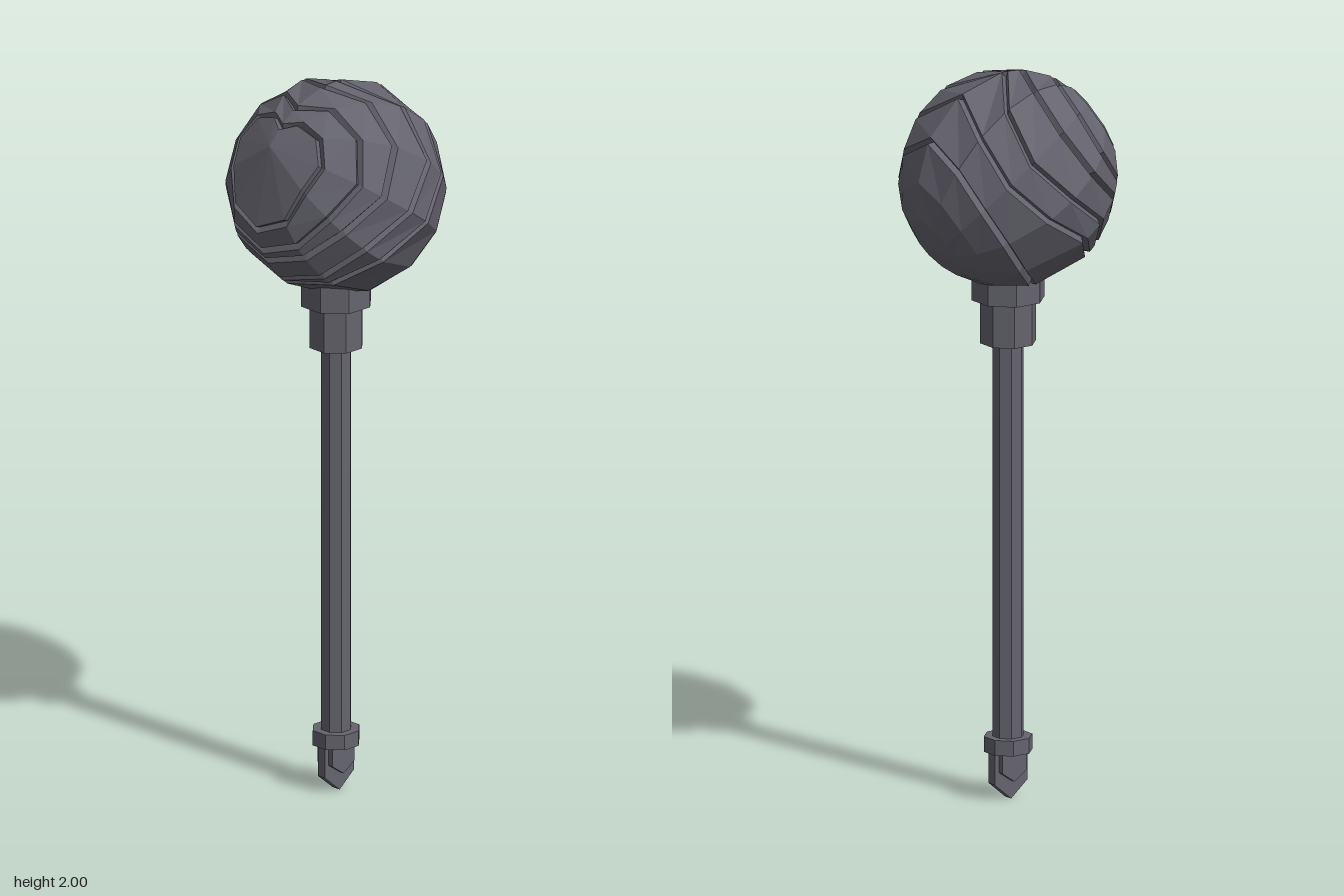
import * as THREE from 'three';

const metal = new THREE.MeshStandardMaterial({ color: 0x65646e });
metal.name = 'darkSteel';
metal.flatShading = true;

const SEG = 12, R = 0.294, CENTRE_Y = 1.706, TILT = THREE.MathUtils.degToRad(35);

// Each groove: angle from the tilted ball axis, for every 30 degrees from its top to its bottom
const grooves = [
  [64, 57, 50, 48, 50, 57, 62],
  [93, 78, 69, 74, 87, 92, 94],
  [123, 99, 86, 91, 101, 100, 98],
  [134, 121, 111, 110, 117, 116, 114],
  [155, 142, 131, 125, 128, 124, 121],
  [168, 160, 152, 147, 147, 138, 134],
];

// Rows of the ball from pole to pole: plain rows between grooves, three rows per groove
function ballRows() {
  const rows = [];
  const add = (angles, r) => rows.push({ angles, r });
  const fill = (a, b) => {
    const gap = a.reduce((sum, v, i) => sum + b[i] - v, 0) / a.length;
    const n = Math.max(1, Math.round(gap / 20));
    for (let k = 1; k < n; k++) add(a.map((v, i) => v + (b[i] - v) * k / n), R);
  };
  let last = Array(7).fill(0);
  add(last, R);
  for (const g of grooves) {
    const before = g.map(v => v - 1.9), after = g.map(v => v + 1.9);
    fill(last, before);
    add(before, R);
    add(g.map(v => v + 0.5), R - 0.016);
    add(after, R);
    last = after;
  }
  const end = Array(7).fill(180);
  fill(last, end);
  add(end, R);
  return rows;
}

function ballGeometry() {
  const rows = ballRows(), c = Math.cos(TILT), s = Math.sin(TILT);
  const pos = [], index = [];
  for (const { angles, r } of rows) {
    for (let j = 0; j < SEG; j++) {
      const lat = THREE.MathUtils.degToRad(angles[Math.min(j, SEG - j)]);
      const phi = j / SEG * Math.PI * 2;
      const a = r * Math.cos(lat), t = r * Math.sin(lat) * Math.cos(phi);
      pos.push(a * c + t * s, t * c - a * s, r * Math.sin(lat) * Math.sin(phi));
    }
  }
  for (let i = 0; i < rows.length - 1; i++) {
    for (let j = 0; j < SEG; j++) {
      const k = (j + 1) % SEG;
      const p = i * SEG + j, q = p + SEG, u = i * SEG + k, v = u + SEG;
      if (i < rows.length - 2) index.push(p, q, v);
      if (i > 0) index.push(p, v, u);
      else index.push(p, q, v);
      if (i === rows.length - 2) index.push(p, q, u);
    }
  }
  const geo = new THREE.BufferGeometry();
  geo.setAttribute('position', new THREE.Float32BufferAttribute(pos, 3));
  geo.setIndex(index);
  const flat = geo.toNonIndexed();
  flat.computeVertexNormals();
  return flat;
}

export function createModel() {
  const group = new THREE.Group();
  const add = (name, geo, y = 0) => {
    const mesh = new THREE.Mesh(geo, metal);
    mesh.name = name;
    mesh.position.y = y;
    group.add(mesh);
  };

  // Octagonal prism with a flat side to the front; half is half its width across flats
  const prism = (name, half, y0, y1) => {
    const r = half / Math.cos(Math.PI / 8);
    const geo = new THREE.CylinderGeometry(r, r, y1 - y0, 8).rotateY(Math.PI / 8);
    add(name, geo, (y0 + y1) / 2);
  };

  // Pointed plate centred on z = 0
  const point = (name, half, top, shoulder, tip, depth) => {
    const shape = new THREE.Shape([
      [-half, top], [-half, shoulder], [0, tip], [half, shoulder], [half, top],
    ].map(([x, y]) => new THREE.Vector2(x, y)));
    const geo = new THREE.ExtrudeGeometry(shape, { depth, bevelEnabled: false });
    add(name, geo.translate(0, 0, -depth / 2));
  };

  add('groovedBall', ballGeometry(), CENTRE_Y);

  // Socket under the ball
  prism('upperCollar', 0.092, 1.375, 1.45);
  prism('socket', 0.07, 1.255, 1.376);

  prism('shaft', 0.039, 0.14, 1.27);

  // Foot with a layered spade point
  prism('footCollar', 0.061, 0.13, 0.172);
  point('footPlate', 0.053, 0.14, 0.045, 0, 0.028);
  point('footBoss', 0.04, 0.14, 0.078, 0.05, 0.06);

  return group;
}
